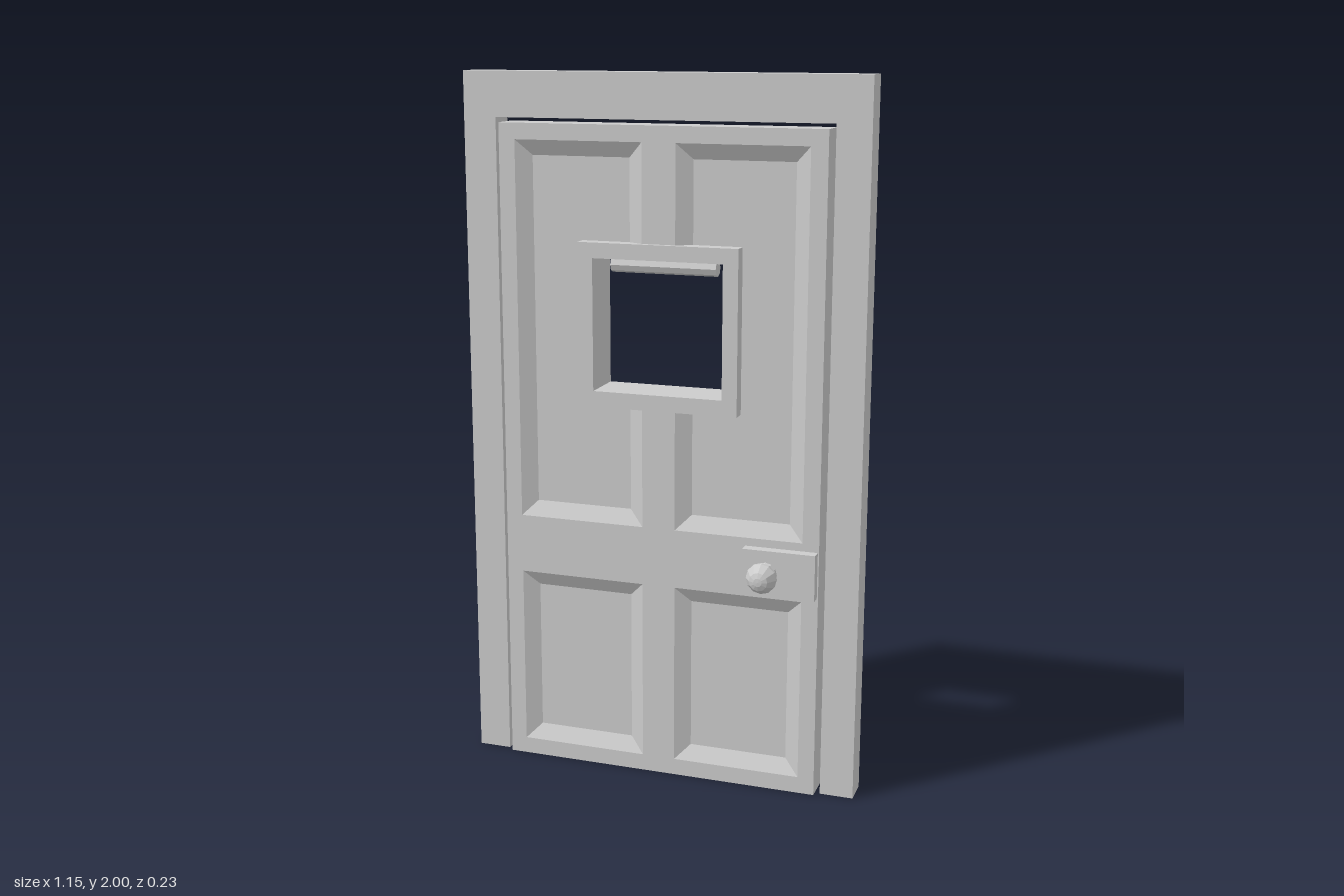
import * as THREE from 'three';

const material = new THREE.MeshStandardMaterial({ color: 0xcccccc, flatShading: true });

// Rectangle or polygon outlines
const rect = (x0, y0, x1, y1) => [[x0, y0], [x1, y0], [x1, y1], [x0, y1]];
const toPoints = (list) => list.map(([x, y]) => new THREE.Vector2(x, y));

// Flat plate with holes, spanning z0 to z1
function plate(outline, holes, z0, z1) {
  const shape = new THREE.Shape(toPoints(outline));
  holes.forEach((h) => shape.holes.push(new THREE.Path(toPoints(h))));
  const geometry = new THREE.ExtrudeGeometry(shape, { depth: z1 - z0, bevelEnabled: false });
  return geometry.translate(0, 0, z0);
}

export function createModel() {
  const model = new THREE.Group();
  model.name = 'panelledDoor';
  const add = (name, geometry, parent = model) => {
    const mesh = new THREE.Mesh(geometry, material);
    mesh.name = name;
    parent.add(mesh);
    return mesh;
  };

  const front = 0.003, floor = -0.022, back = -0.088;
  const outer = 0.418, inner = 0.048, bevel = 0.043;
  const lower = [0.048, 0.573], upper = [0.743, 1.817];
  const cut = [1.11, 1.522]; // mullion is interrupted behind the window frame

  // Door surround, open at the bottom
  add('doorFrame', plate([
    [-0.575, 0], [-0.48, 0], [-0.48, 1.875], [0.48, 1.875], [0.48, 0],
    [0.575, 0], [0.575, 2], [-0.575, 2],
  ], [], -0.093, -0.012));

  // Door leaf: a core slab with stiles and rails in front
  const leaf = new THREE.Group();
  leaf.name = 'doorLeaf';
  model.add(leaf);
  const leafOutline = rect(-0.465, 0, 0.465, 1.862);
  add('coreSlab', plate(leafOutline, [rect(-0.21, 1.11, 0.21, 1.522)], back, floor), leaf);
  const upperHole = [
    [-outer, upper[0]], [-inner, upper[0]], [-inner, cut[0]], [inner, cut[0]],
    [inner, upper[0]], [outer, upper[0]], [outer, upper[1]], [inner, upper[1]],
    [inner, cut[1]], [-inner, cut[1]], [-inner, upper[1]], [-outer, upper[1]],
  ];
  add('stilesAndRails', plate(leafOutline, [
    rect(-outer, ...[lower[0], -inner, lower[1]]),
    rect(inner, ...[lower[0], outer, lower[1]]),
    upperHole,
  ], floor, front), leaf);

  // Sloped mouldings around each recessed panel
  function moulding(side, [y0, y1], gap) {
    const xo = -outer, xi = -inner, b = bevel;
    const top = (x, y) => [x, y, front];
    const low = (x, y) => [x, y, floor + 0.0005];
    const oa = top(xo, y0), ob = top(xi, y0), oc = top(xi, y1), od = top(xo, y1);
    const ia = low(xo + b, y0 + b), ib = low(xi - b, y0 + b);
    const ic = low(xi - b, y1 - b), id = low(xo + b, y1 - b);
    const quads = [[oa, ob, ib, ia], [oc, od, id, ic], [od, oa, ia, id]];
    if (gap) {
      quads.push([ob, top(xi, gap[0]), low(xi - b, gap[0]), ib]);
      quads.push([top(xi, gap[1]), oc, ic, low(xi - b, gap[1])]);
    } else quads.push([ob, oc, ic, ib]);
    const positions = [];
    quads.forEach((q) => {
      const order = side < 0 ? [0, 1, 2, 0, 2, 3] : [0, 2, 1, 0, 3, 2];
      order.forEach((i) => positions.push(-side * q[i][0], q[i][1], q[i][2]));
    });
    const geometry = new THREE.BufferGeometry();
    geometry.setAttribute('position', new THREE.Float32BufferAttribute(positions, 3));
    geometry.computeVertexNormals();
    return geometry;
  }
  for (const side of [-1, 1]) {
    const label = side < 0 ? 'right' : 'left';
    add(`${label}LowerMoulding`, moulding(side, lower, null), leaf);
    add(`${label}UpperMoulding`, moulding(side, upper, cut), leaf);
  }

  // Window frame through the leaf
  add('windowFrame', plate(rect(-0.23, 1.085, 0.23, 1.545),
    [rect(-0.187, 1.13, 0.187, 1.502)], -0.12, 0.018));

  // Small roller under the window head
  const roller = add('windowRoller', new THREE.CylinderGeometry(0.022, 0.022, 0.305, 8));
  roller.rotation.z = Math.PI / 2;
  roller.position.set(0, 1.479, -0.052);

  // Lock plate and faceted knob
  const plateMesh = add('lockPlate', new THREE.BoxGeometry(0.207, 0.132, 0.035));
  plateMesh.position.set(0.358, 0.654, 0.0155);
  const profile = toPoints([
    [0, 0], [0.033, 0], [0.031, 0.01], [0.043, 0.036], [0.043, 0.046],
    [0.026, 0.074], [0.012, 0.08], [0, 0.081],
  ]);
  const knob = add('knob', new THREE.LatheGeometry(profile, 12));
  knob.rotation.x = Math.PI / 2;
  knob.position.set(0.322, 0.654, 0.033);

  return model;
}
